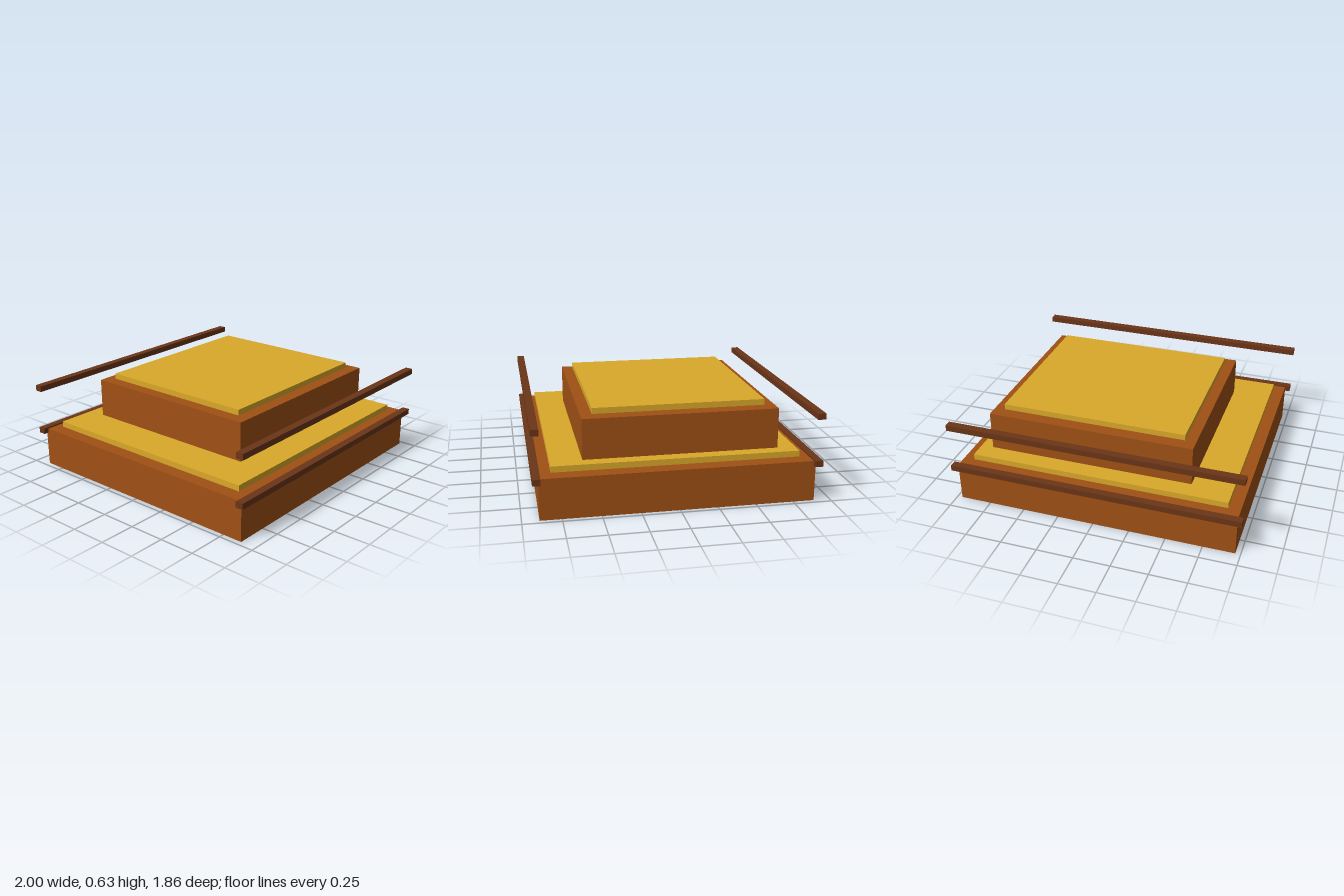
import * as THREE from 'three';

const wood = new THREE.MeshStandardMaterial({ color: 0xa05014 });
const gold = new THREE.MeshStandardMaterial({ color: 0xdaa92a });
const darkWood = new THREE.MeshStandardMaterial({ color: 0x6b3517 });

// Box given by its lower and upper limits on each axis
function block(name, material, [x0, x1], [y0, y1], [z0, z1]) {
  const mesh = new THREE.Mesh(new THREE.BoxGeometry(x1 - x0, y1 - y0, z1 - z0), material);
  mesh.position.set((x0 + x1) / 2, (y0 + y1) / 2, (z0 + z1) / 2);
  mesh.name = name;
  return mesh;
}

export function createModel() {
  const model = new THREE.Group();
  model.name = 'steppedPlatform';

  // Lower tier with its thin slab floating just above
  model.add(block('lowerTier', wood, [-0.965, 0.965], [0, 0.272], [-0.89, 0.89]));
  model.add(block('lowerSlab', gold, [-0.885, 0.885], [0.28, 0.32], [-0.807, 0.807]));

  // Upper tier, set off centre
  model.add(block('upperTier', wood, [-0.613, 0.8], [0.32, 0.588], [-0.684, 0.6]));
  model.add(block('upperSlab', gold, [-0.541, 0.723], [0.595, 0.634], [-0.608, 0.525]));

  // Front and back rails at two heights
  for (const [level, y] of [['lower', 0.262], ['upper', 0.579]]) {
    for (const [side, z] of [['Front', 0.902], ['Back', -0.902]]) {
      model.add(block(`${level}${side}Rail`, darkWood,
        [-1, 1], [y - 0.02, y + 0.02], [z - 0.026, z + 0.026]));
    }
  }
  return model;
}
